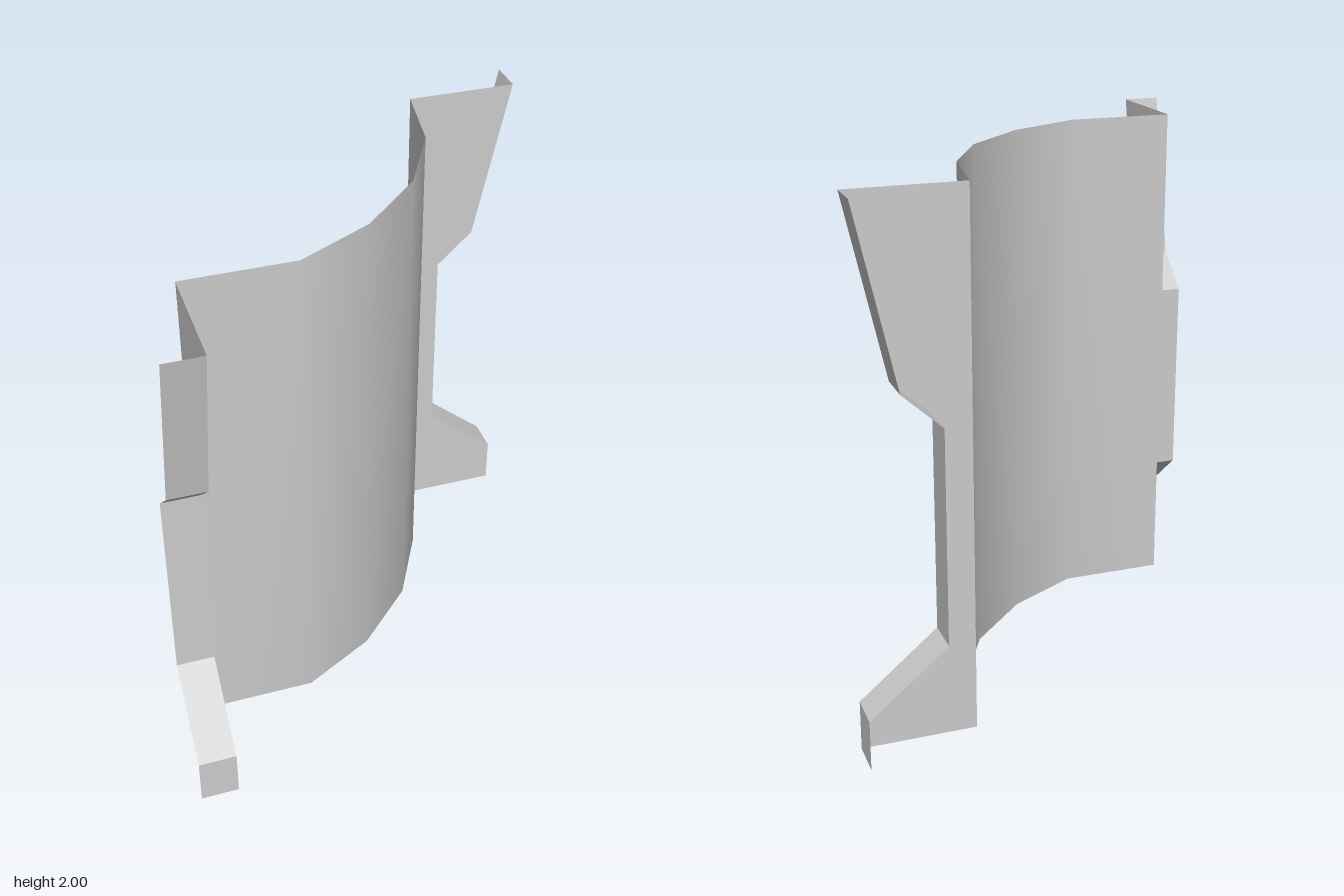
import * as THREE from 'three';

const material = new THREE.MeshStandardMaterial({ color: 0xcccccc, side: THREE.DoubleSide });
const flatMaterial = new THREE.MeshStandardMaterial({ color: 0xcccccc, side: THREE.DoubleSide, flatShading: true });

const HEIGHT = 2;
const FLANGE = 0.143;

// Plan of the bent sheet as [x, z]
const plan = [[-0.72, 0.357], [-0.307, 0.357], [-0.02, 0.205], [0.22, -0.03], [0.374, -0.325], [0.428, -0.645]];

// Notched outer edge of a wing as [distance from the sheet, y]
const edge = [[0.428, 0], [0.428, 0.19], [0.141, 0.43], [0.141, 1.225], [0.285, 1.357], [0.428, HEIGHT]];

// Strip of quads between two equally long rows of points
function strip(rowA, rowB) {
  const positions = [...rowA, ...rowB].flat();
  const index = [];
  const n = rowA.length;
  for (let i = 0; i < n - 1; i++) index.push(i, i + 1, n + i + 1, i, n + i + 1, n + i);
  const geometry = new THREE.BufferGeometry();
  geometry.setAttribute('position', new THREE.Float32BufferAttribute(positions, 3));
  geometry.setIndex(index);
  geometry.computeVertexNormals();
  return geometry;
}

function addMesh(parent, name, geometry, mat) {
  const mesh = new THREE.Mesh(geometry, mat);
  mesh.name = name;
  parent.add(mesh);
}

// Wing and its turned-back flange; place(u, y, v) sets outward distance u and flange depth v
function createWing(name, place) {
  const wing = new THREE.Group();
  wing.name = name;

  const outline = [[0, 0], ...edge, [0, HEIGHT]].map(([u, y]) => new THREE.Vector2(u, y));
  const plate = new THREE.ShapeGeometry(new THREE.Shape(outline));
  const p = plate.attributes.position;
  for (let i = 0; i < p.count; i++) p.setXYZ(i, ...place(p.getX(i), p.getY(i), 0));
  plate.computeVertexNormals();
  addMesh(wing, name + 'Plate', plate, flatMaterial);

  const inner = edge.map(([u, y]) => place(u, y, 0));
  const outer = edge.map(([u, y]) => place(u, y, FLANGE));
  addMesh(wing, name + 'Flange', strip(outer, inner), flatMaterial);
  return wing;
}

export function createModel() {
  const model = new THREE.Group();
  model.name = 'curvedPanel';

  // Smoothly bent sheet
  addMesh(model, 'bentSheet', strip(
    plan.map(([x, z]) => [x, 0, z]),
    plan.map(([x, z]) => [x, HEIGHT, z])
  ), material);

  // Wings at both ends, mirrored across the diagonal
  const [startX, startZ] = plan[0];
  const [endX, endZ] = plan[plan.length - 1];
  model.add(createWing('frontWing', (u, y, v) => [startX - v, y, startZ + u]));
  model.add(createWing('sideWing', (u, y, v) => [endX + u, y, endZ - v]));
  return model;
}
